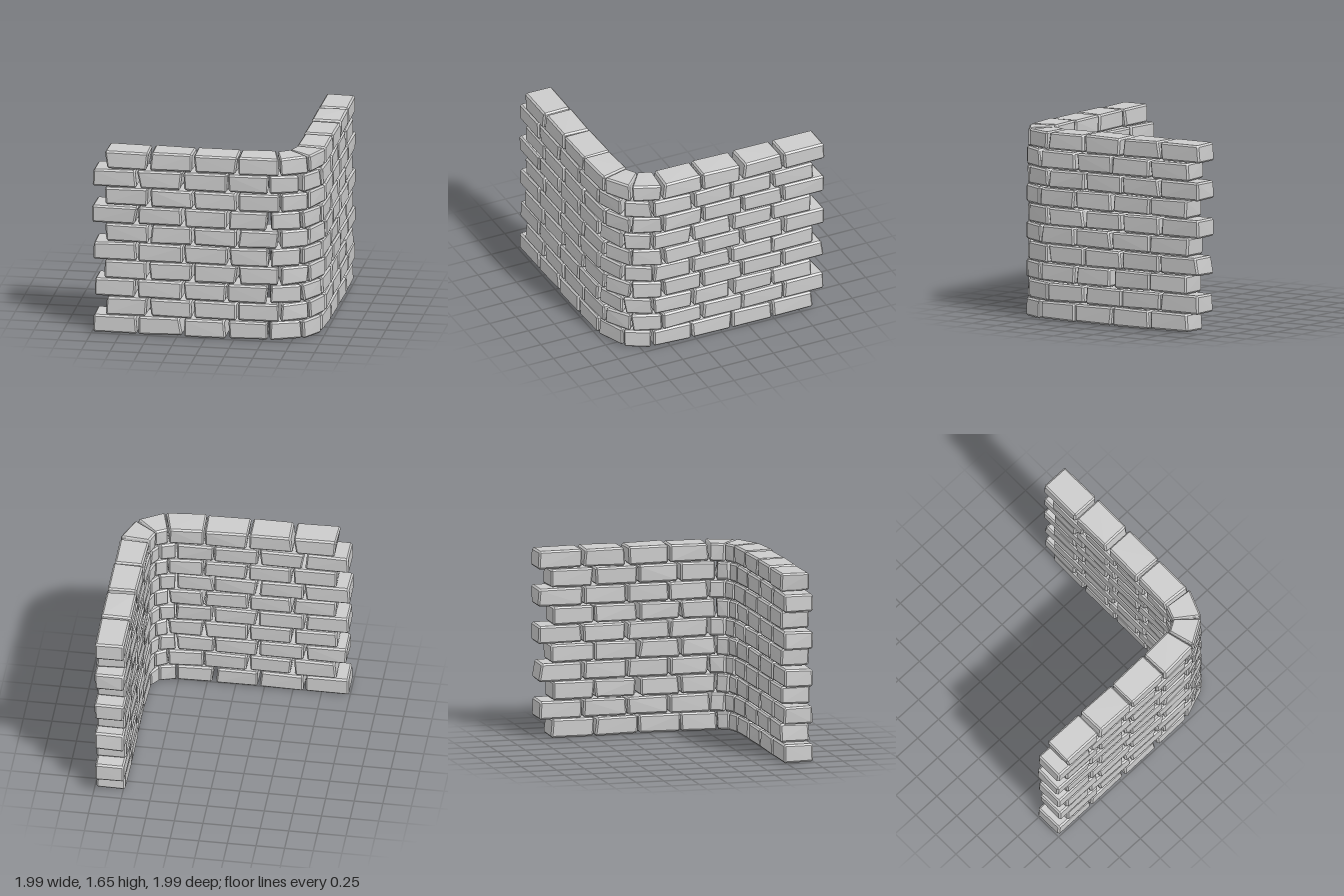
import * as THREE from 'three';
import { ConvexGeometry } from 'three/addons/geometries/ConvexGeometry.js';

const ROWS = 10, PITCH = 0.165, HEIGHT = 0.157, BEVEL = 0.015;
const OUT = 0.985, IN = 0.73;

// Seeded random in 0..1
function seeded(seed) {
  return () => {
    seed = (seed * 16807) % 2147483647;
    return seed / 2147483647;
  };
}

// Joints of one course, each as [outer x, outer z, inner x, inner z]
function courseJoints(odd) {
  const front = odd ? [-0.89, -0.5, -0.11, 0.28] : [-0.995, -0.6, -0.2, 0.19];
  const side = odd ? [0.18, -0.2, -0.595, -0.995] : [0.28, -0.1, -0.49, -0.885];
  const corner = odd
    ? [[0.65, 0.968, 0.585, 0.718], [0.885, 0.825, 0.69, 0.665], [0.985, 0.56, 0.73, 0.54]]
    : [[0.56, 0.98, 0.52, 0.725], [0.835, 0.88, 0.655, 0.69], [0.97, 0.65, 0.72, 0.6]];
  return [
    ...front.map(x => [x, OUT, x, IN]),
    ...corner,
    ...side.map(z => [OUT, z, IN, z]),
  ];
}

// Bevelled brick between two joints, with slightly uneven corners
function brickGeometry(a, b, y, rand) {
  const corners = [];
  const length = Math.hypot(b[0] - a[0], b[1] - a[1]);
  const wobble = n => (rand() - 0.5) * n;
  for (const end of [0, 1]) {
    for (const top of [0, 1]) {
      const inset = 0.003 + 0.026 * rand() ** 2;
      const t = end ? 1 - inset / length : inset / length;
      for (const inner of [0, 1]) {
        const k = inner * 2;
        const s = t + wobble(0.008) / length;
        corners.push(new THREE.Vector3(
          THREE.MathUtils.lerp(a[k], b[k], s) + wobble(0.012),
          y + top * HEIGHT + wobble(0.01),
          THREE.MathUtils.lerp(a[k + 1], b[k + 1], s) + wobble(0.012)));
      }
    }
  }
  // Position inside the eight corners: u along, v up, w through the wall
  const at = (u, v, w) => {
    const p = new THREE.Vector3();
    corners.forEach((c, i) => p.addScaledVector(c,
      (i & 4 ? u : 1 - u) * (i & 2 ? v : 1 - v) * (i & 1 ? w : 1 - w)));
    return p;
  };
  const bevel = [BEVEL / length, BEVEL / HEIGHT, BEVEL / (OUT - IN)];
  const points = [];
  for (let i = 0; i < 8; i++) {
    const full = [i & 4 ? 1 : 0, i & 2 ? 1 : 0, i & 1];
    for (let axis = 0; axis < 3; axis++) {
      // Pull two of the three coordinates in so that every edge is chamfered
      const c = full.map((f, j) => j === axis ? f : f ? 1 - bevel[j] : bevel[j]);
      points.push(at(...c));
    }
  }
  return new ConvexGeometry(points);
}

export function createModel() {
  const wall = new THREE.Group();
  wall.name = 'cornerWall';
  const material = new THREE.MeshStandardMaterial({ color: 0xcccccc, flatShading: true });
  const rand = seeded(4711);

  // Stacked courses, alternately shifted along the wall
  for (let row = 0; row < ROWS; row++) {
    const course = new THREE.Group();
    course.name = `course${row + 1}`;
    const joints = courseJoints(row % 2 === 1);
    for (let i = 0; i < joints.length - 1; i++) {
      const geometry = brickGeometry(joints[i], joints[i + 1], 0.007 + row * PITCH, rand);
      const brick = new THREE.Mesh(geometry, material);
      brick.name = i === 4 || i === 5 ? 'cornerBrick' : 'brick';
      course.add(brick);
    }
    wall.add(course);
  }
  return wall;
}
